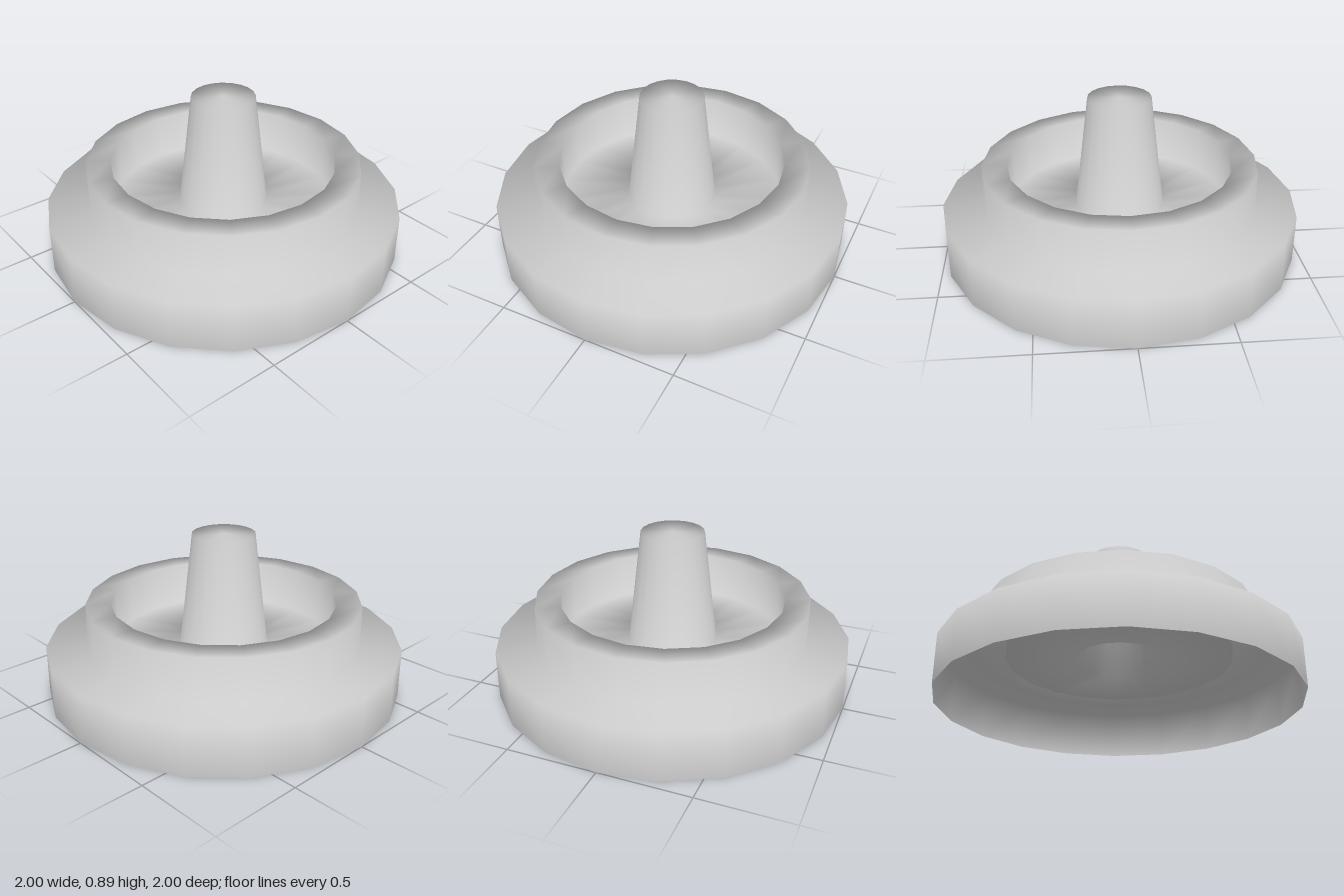
import * as THREE from 'three';

export function createModel() {
  const group = new THREE.Group();
  const material = new THREE.MeshStandardMaterial({ color: 0xcccccc, side: THREE.DoubleSide });

  // One thin, smooth shell open underneath: [radius, height] from the outside in
  const profile = [
    [1, 0], [1, 0.275],           // base skirt
    [0.77, 0.275], [0.77, 0.515], // raised ring
    [0.63, 0.515], [0.63, 0.26],  // rim and bowl wall
    [0.25, 0.26],                 // bowl floor
    [0.175, 0.895], [0, 0.895],   // tapered centre post and its cap
  ].map(([r, y]) => new THREE.Vector2(r, y));

  const shell = new THREE.Mesh(new THREE.LatheGeometry(profile, 20), material);
  shell.name = 'steppedBowlWithPost';
  group.add(shell);
  return group;
}
